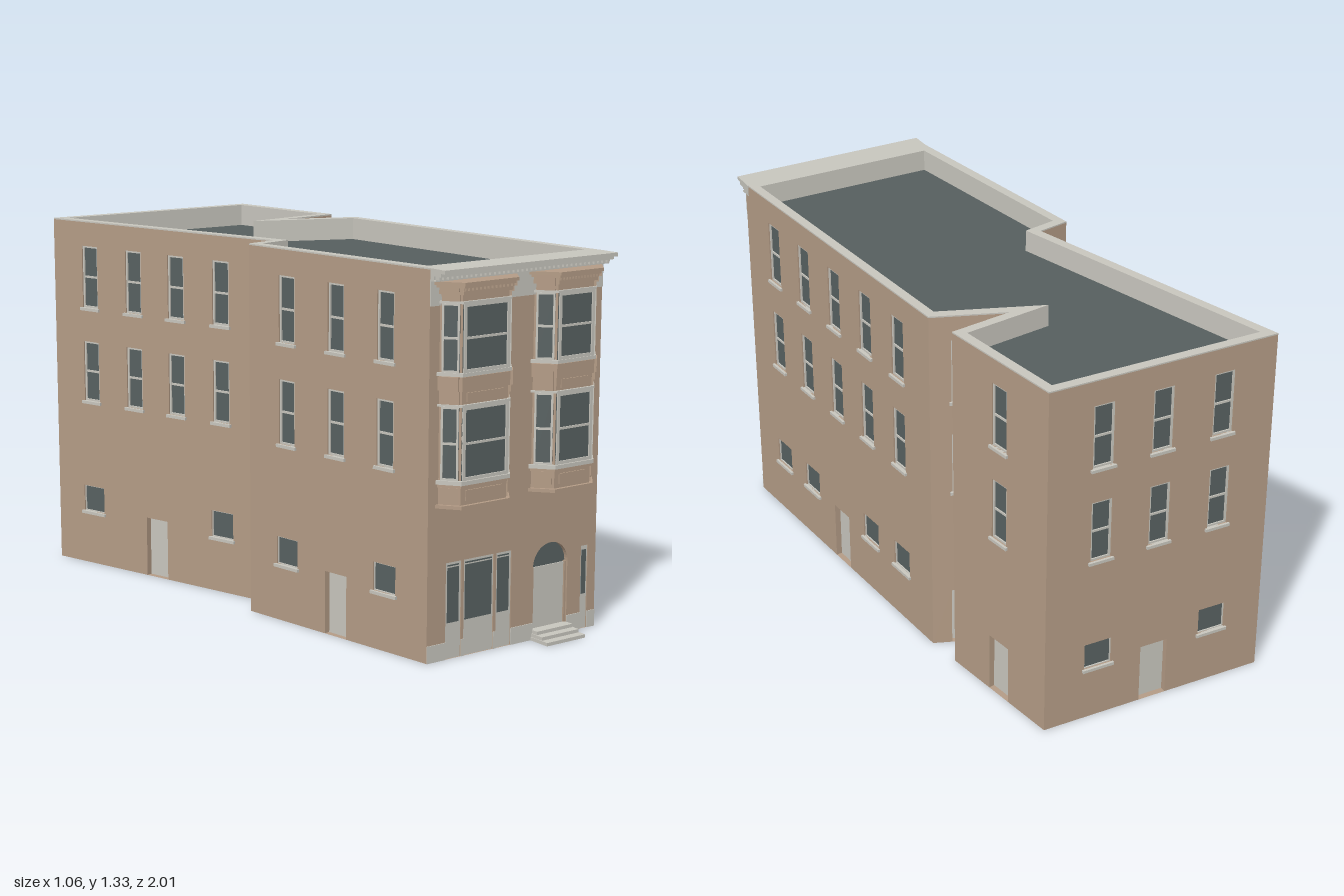
import * as THREE from 'three';

const mat = (name, color, side = THREE.FrontSide) => {
  const m = new THREE.MeshStandardMaterial({ color, side });
  m.name = name;
  return m;
};
const TAN = mat('tan masonry', 0xb49c86);
const PALE = mat('pale trim', 0xc8c6be);
const GLASS = mat('dark glass', 0x586161);
const ROOF = mat('roof grey', 0x565f5f);

const H = 1.33, T = 0.025, FRONT = 0.91;
// Footprint corners [x, z], starting at the front and running along the wall seen left to right
const PLAN = [[-.22, FRONT], [.53, FRONT], [.42, -.35], [.167, -.45], [.40, -.48],
  [.32, -.976], [-.53, -1], [-.23, .037], [-.35, .06]];

function add(parent, name, geo, material, x = 0, y = 0, z = 0) {
  const m = new THREE.Mesh(geo, material);
  m.name = name;
  m.position.set(x, y, z);
  parent.add(m);
  return m;
}
// Box given by its left, right, bottom, top, back and front
const block = (p, name, material, x0, x1, y0, y1, z0, z1) =>
  add(p, name, new THREE.BoxGeometry(x1 - x0, y1 - y0, z1 - z0), material, (x0 + x1) / 2, (y0 + y1) / 2, (z0 + z1) / 2);

const rectPath = (x0, x1, y0, y1, C = THREE.Path) =>
  new C([[x0, y0], [x1, y0], [x1, y1], [x0, y1]].map(p => new THREE.Vector2(...p)));

const extrude = (shape, depth) => new THREE.ExtrudeGeometry(shape, { depth, bevelEnabled: false, curveSegments: 12 });

// Horizontal slab with an [x, z] outline and an optional hole
function slab(parent, name, material, pts, y0, y1, hole) {
  const v = a => a.map(([x, z]) => new THREE.Vector2(x, -z));
  const s = new THREE.Shape(v(pts));
  if (hole) s.holes.push(new THREE.Path(v(hole)));
  return add(parent, name, extrude(s, y1 - y0).rotateX(-Math.PI / 2), material, 0, y0, 0);
}

// Footprint moved inwards by t with mitred corners
function inset(pts, t) {
  const n = pts.map((p, i) => {
    const q = pts[(i + 1) % pts.length];
    return new THREE.Vector2(p[1] - q[1], q[0] - p[0]).normalize();
  });
  return pts.map((p, i) => {
    const a = n[(i + pts.length - 1) % pts.length], b = n[i], k = t / (1 + a.dot(b));
    return [p[0] - k * (a.x + b.x), p[1] - k * (a.y + b.y)];
  });
}

// Group whose x runs from P to Q and whose z points outwards
function along(parent, name, P, Q) {
  const g = new THREE.Group(), dx = Q[0] - P[0], dz = Q[1] - P[1];
  g.name = name;
  g.position.set(P[0], 0, P[1]);
  g.rotation.y = Math.atan2(-dz, dx);
  parent.add(g);
  return { g, L: Math.hypot(dx, dz), dir: [dx / Math.hypot(dx, dz), dz / Math.hypot(dx, dz)] };
}

// Glass with a pale frame and an optional middle rail
function sash(p, x0, x1, y0, y1, z, f = .008, rail = true) {
  block(p, 'windowGlass', GLASS, x0, x1, y0, y1, z, z + .004);
  const s = rectPath(x0, x1, y0, y1, THREE.Shape);
  s.holes.push(rectPath(x0 + f, x1 - f, y0 + f, y1 - f));
  add(p, 'windowFrame', extrude(s, .009), PALE, 0, 0, z);
  const ym = (y0 + y1) / 2;
  if (rail) block(p, 'windowRail', PALE, x0 + f, x1 - f, ym - .004, ym + .004, z, z + .008);
}

// Wall with openings, mitred at its inner ends, and a pale lining
function wall(parent, name, i, holes) {
  const inner = inset(PLAN, T), j = (i + 1) % PLAN.length;
  const { g, L, dir } = along(parent, name, PLAN[i], PLAN[j]);
  const shift = k => (inner[k][0] - PLAN[k][0]) * dir[0] + (inner[k][1] - PLAN[k][1]) * dir[1];
  const m0 = shift(i), m1 = shift(j);
  const s = rectPath(0, L, 0, H - .005, THREE.Shape);
  s.holes.push(...holes(L));
  const geo = extrude(s, T).translate(0, 0, -T), pos = geo.attributes.position;
  for (let k = 0; k < pos.count; k++) {
    if (pos.getZ(k) > -T / 2) continue;
    if (pos.getX(k) < 1e-4) pos.setX(k, m0);
    else if (pos.getX(k) > L - 1e-4) pos.setX(k, L + m1);
  }
  geo.computeVertexNormals();
  add(g, 'wallMasonry', geo, TAN);
  const w = L + m1 - m0;
  add(g, 'wallLining', new THREE.PlaneGeometry(w, 1.24).rotateY(Math.PI), PALE, m0 + w / 2, .62, -T - .001);
  return { g, L };
}

// Plain wall: columns of [position along wall, ground floor kind, has upper windows]
function sideWall(parent, name, i, cols, doorW = .105) {
  const openings = L => cols.flatMap(([t, kind, upper = true]) => {
    const c = t * L, out = [];
    if (upper) for (const [y0, y1] of [[.64, .87], [1, 1.235]]) out.push(['sash', c - .039, c + .039, y0, y1]);
    if (kind === 'window') out.push(['low', c - .052, c + .052, .205, .305]);
    if (kind === 'door') out.push(['door', c - doorW / 2, c + doorW / 2, 0, .225]);
    return out;
  });
  const { g, L } = wall(parent, name, i, l => openings(l).map(([, ...r]) => rectPath(...r)));
  for (const [kind, x0, x1, y0, y1] of openings(L)) {
    if (kind === 'door') {
      block(g, 'door', PALE, x0, x1, y0, y1, -T, -T + .003);
      block(g, 'doorBack', GLASS, x0, x1, y0, y1, -T - .02, -T - .0005);
      continue;
    }
    sash(g, x0, x1, y0, y1, -.014, kind === 'low' ? .003 : .007, kind === 'sash');
    block(g, 'windowSill', PALE, x0 - .008, x1 + .008, y0 - .011, y0, -.014, .009);
  }
}

function shopFront(parent) {
  const u = x => x + .22;
  // [frame left, right, top, glass left, right, top]
  const bays = [[-.141, -.074, .335, -.132, -.083, .316], [-.063, .067, .335, -.056, .06, .316],
    [.078, .145, .335, .085, .136, .316], [.462, .494, .30, .468, .488, .284]];
  const cx = u(.3215), r = .0785, spring = .257;
  const arch = (C, y0) => {
    const p = new C();
    p.moveTo(cx - r, y0);
    p.lineTo(cx + r, y0);
    p.lineTo(cx + r, spring);
    p.absarc(cx, spring, r, 0, Math.PI, false);
    return p;
  };
  const { g } = wall(parent, 'frontWall', 0, () =>
    [...bays.map(b => rectPath(u(b[0]), u(b[1]), 0, b[2])), arch(THREE.Path, 0)]);
  for (const [x0, x1, top, a, b, gt] of bays) {
    block(g, 'shopPanel', PALE, u(x0), u(x1), 0, top, -.02, -.004);
    block(g, 'shopGlass', GLASS, u(a), u(b), .125, gt, -.006, -.002);
    if (top > .32) block(g, 'shopTransom', GLASS, u(a), u(b), gt + .005, gt + .01, -.006, -.002);
  }
  // Arched entrance and steps
  add(g, 'fanlight', extrude(arch(THREE.Shape, spring - .01), .004), GLASS, 0, 0, -.02);
  block(g, 'entranceDoor', PALE, cx - r, cx + r, 0, spring - .004, -.022, -.012);
  for (const x of [cx - r, cx + r - .008]) block(g, 'doorPost', TAN, x, x + .008, .03, spring, -.02, -.006);
  [.09, .06, .03].forEach((d, k) =>
    block(g, 'step', PALE, cx - .087 + k * .003, cx + .087 - k * .003, k * .012, (k + 1) * .012, -.01, d));
  // Pale plinth and frieze
  for (const [a, b] of [[-.22, -.141], [-.074, -.063], [.067, .078], [.145, .243], [.4, .462], [.494, .53]])
    block(g, 'plinth', PALE, u(a), u(b), 0, .06, 0, .003);
  block(g, 'frieze', PALE, 0, .75, 1.205, 1.295, 0, .004);
  // Main cornice
  [[1.288, 1.293, .03], [1.293, 1.305, .02], [1.305, 1.317, .055], [1.317, H, .075]].forEach(([y0, y1, d]) =>
    block(g, 'cornice', PALE, 0, .75, y0, y1, -.02, d));
  for (let k = 0; k < 38; k++) block(g, 'corniceDentil', PALE, .005 + k * .0197, .016 + k * .0197, 1.293, 1.305, .02, .04);
}

// Two storey bay window
function bayWindow(parent, cx, hw, fw) {
  const g = new THREE.Group(), d = .058;
  g.name = 'bayWindow';
  g.position.set(cx, 0, FRONT);
  parent.add(g);
  const outline = e => [[-hw - e, 0], [-fw - e * .5, d + e], [fw + e * .5, d + e], [hw + e, 0]];
  slab(g, 'bayBody', TAN, outline(0), .54, 1.26);
  const layers = [[TAN, .53, .542, .012], [TAN, .6, .611, .004], [PALE, .611, .625, .012], [PALE, .872, .88, .009],
    [TAN, .925, .972, .007], [PALE, .974, .986, .012], [PALE, 1.213, 1.221, .009],
    [TAN, 1.243, 1.256, .012], [TAN, 1.266, 1.275, .022], [TAN, 1.275, 1.286, .03]];
  for (const [m, y0, y1, e] of layers) slab(g, 'bayMoulding', m, outline(e), y0, y1);
  slab(g, 'bayDentilBand', TAN, outline(.01), 1.256, 1.266);
  for (let k = 0; k < 13; k++) {
    const x = -fw + k * fw / 6;
    block(g, 'bayDentil', TAN, x - .004, x + .004, 1.256, 1.266, d, d + .02);
  }
  // Windows on the three faces, with stacked brackets on the slanted ones
  const c = outline(0);
  for (let k = 0; k < 3; k++) {
    const { g: face, L } = along(g, 'bayFace', c[k], c[k + 1]), e = k === 1 ? .001 : .008;
    for (const y of [.626, .986]) sash(face, e, L - e, y, y + (y < .9 ? .247 : .228), 0, k === 1 ? .011 : .007);
    if (k === 1) {
      block(face, 'bayPanel', TAN, .02, L - .02, .556, .592, 0, .004);
      block(face, 'bayPanel', TAN, .02, L - .02, .888, .918, 0, .004);
      continue;
    }
    for (const [y0, y1, z] of [[.545, .6, .005], [.88, .9, .006], [.9, .925, .011], [.925, .973, .016],
      [1.221, 1.236, .008], [1.236, 1.255, .016], [1.255, 1.276, .026]])
      block(face, 'bayBracket', TAN, .008, L - .008, y0, y1, 0, z);
  }
}

export function createModel() {
  const model = new THREE.Group();
  model.name = 'cornerBuilding';

  shopFront(model);
  bayWindow(model, -.032, .146, .098);
  bayWindow(model, .359, .134, .08);

  const w = 'window', d = 'door';
  sideWall(model, 'leftMainWall', 1, [[.159, w], [.329, w], [.5, d], [.669, w], [.839, w]]);
  sideWall(model, 'leftNotchFrontWall', 2, [[.42, d]], .09);
  sideWall(model, 'leftNotchBackWall', 3, [[.4, d, false]], .09);
  sideWall(model, 'leftRearWall', 4, [[.5, d]]);
  sideWall(model, 'backWall', 5, [[.24, w], [.5, d], [.77, w]]);
  sideWall(model, 'rightRearWall', 6, [[.17, w], [.375, null], [.47, d, false], [.57, null], [.77, w]]);
  sideWall(model, 'rightNotchWall', 7, [[.5, d, false]], .08);
  sideWall(model, 'rightMainWall', 8, [[.22, w], [.5, d], [.77, w]]);

  // Roof, ceiling and parapet
  const inner = inset(PLAN, .035);
  inner[0][1] = inner[1][1] = .862;
  slab(model, 'roof', ROOF, inset(PLAN, .03), 1.24, 1.25);
  slab(model, 'ceiling', PALE, inset(PLAN, .026), 1.23, 1.24);
  slab(model, 'parapetLining', PALE, inset(PLAN, T), 1.24, H - .005, inner);
  slab(model, 'parapetCap', PALE, PLAN, H - .005, H, inner);
  return model;
}
